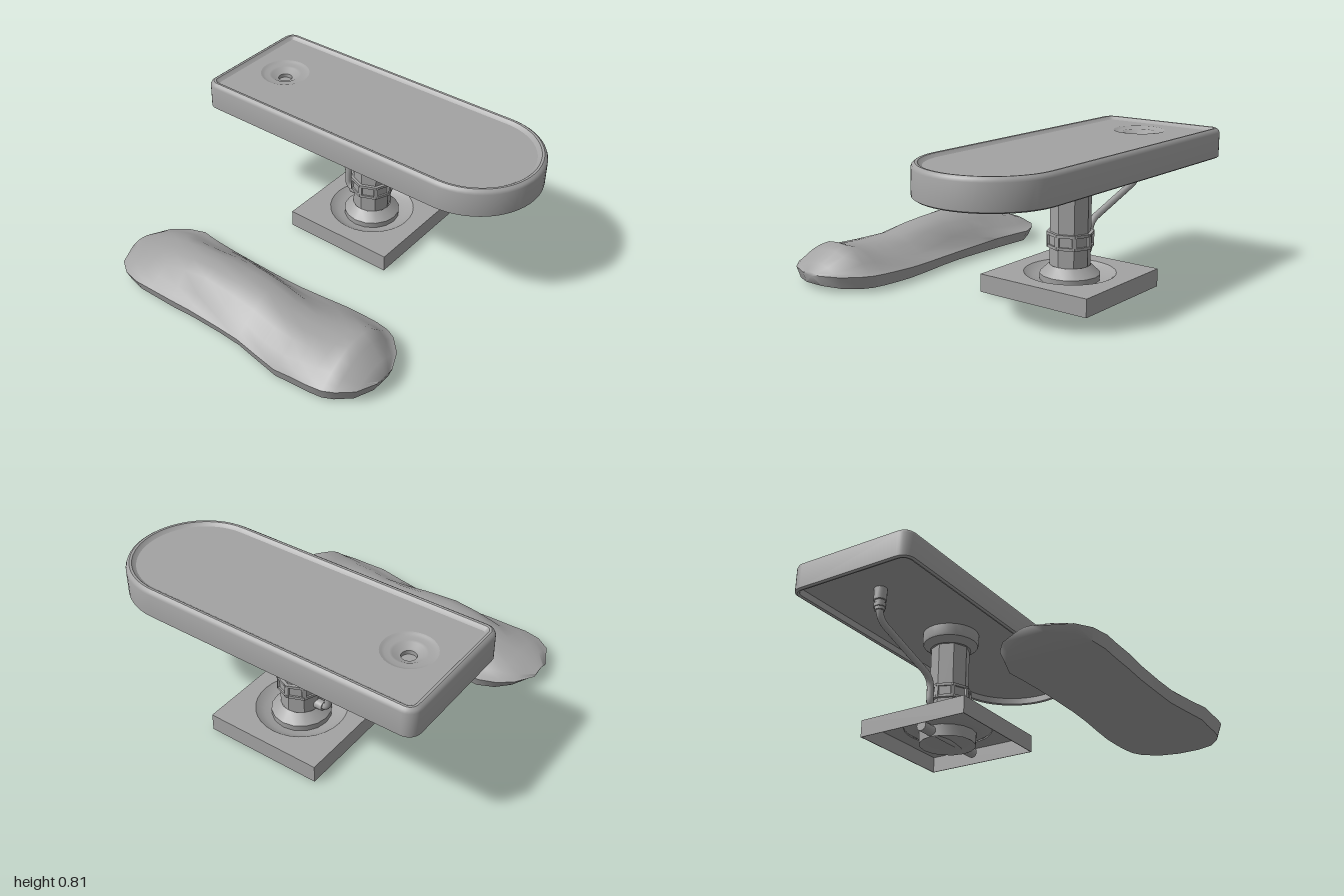
import * as THREE from 'three';
import { toCreasedNormals } from 'three/addons/utils/BufferGeometryUtils.js';

const material = new THREE.MeshStandardMaterial({ color: 0xa3a3a3 });
const openMaterial = new THREE.MeshStandardMaterial({ color: 0xa3a3a3, side: THREE.DoubleSide });

function add(parent, name, geometry, x = 0, y = 0, z = 0, mat = material) {
  const mesh = new THREE.Mesh(geometry, mat);
  mesh.name = name;
  mesh.position.set(x, y, z);
  parent.add(mesh);
  return mesh;
}

const creased = (geometry, angle = 0.6) =>
  toCreasedNormals(geometry.index ? geometry.toNonIndexed() : geometry, angle);

// Skin a stack of closed rings that all have the same number of points
function loft(rings, angle) {
  const n = rings[0].length, index = [];
  for (let i = 0; i < rings.length - 1; i++) {
    for (let j = 0; j < n; j++) {
      const a = i * n + j, b = i * n + (j + 1) % n;
      index.push(a, a + n, b, b, a + n, b + n);
    }
  }
  const g = new THREE.BufferGeometry();
  g.setAttribute('position', new THREE.Float32BufferAttribute(rings.flat(2), 3));
  g.setIndex(index);
  return creased(g, angle);
}

const lathe = (points, segments) =>
  creased(new THREE.LatheGeometry(points.map(p => new THREE.Vector2(...p)), segments));

// Table outline: half-round front, small rounded corners at the back
function outline(inset) {
  const pts = [];
  const arc = (cx, cz, r, from, to, n) => {
    for (let i = 0; i <= n; i++) {
      const a = Math.PI * (from + (to - from) * i / n);
      pts.push([cx + (r - inset) * Math.cos(a), cz + (r - inset) * Math.sin(a)]);
    }
  };
  arc(0, 0.61, 0.39, 0, 1, 28);
  arc(-0.32, -0.93, 0.07, 1, 1.5, 6);
  arc(0.32, -0.93, 0.07, 1.5, 2, 6);
  return pts;
}

function createTableTop() {
  const top = new THREE.Group();
  top.name = 'tableTop';
  const profile = [[0.025, 0.685], [0.025, 0.645], [0.012, 0.64], [0, 0.648], [0, 0.785],
    [0.006, 0.8], [0.02, 0.81], [0.033, 0.809], [0.042, 0.8], [0.055, 0.792]];
  add(top, 'rim', loft(profile.map(([d, y]) => outline(d).map(([x, z]) => [x, y, z])), 0.65));

  const floor = new THREE.Shape(outline(0.055).map(([x, z]) => new THREE.Vector2(x, -z)));
  floor.holes.push(new THREE.Path().absarc(0, 0.72, 0.145, 0, Math.PI * 2, true));
  add(top, 'trayFloor', new THREE.ShapeGeometry(floor, 16).rotateX(-Math.PI / 2), 0, 0.792, 0);
  const under = new THREE.Shape(outline(0.025).map(([x, z]) => new THREE.Vector2(x, z)));
  add(top, 'underside', new THREE.ShapeGeometry(under).rotateX(Math.PI / 2), 0, 0.685, 0);

  // Stepped dish with a small drain hole
  add(top, 'drainDish', lathe([[0, 0.735], [0.04, 0.735], [0.04, 0.757], [0.055, 0.76], [0.082, 0.777],
    [0.095, 0.781], [0.12, 0.78], [0.135, 0.788], [0.145, 0.792]], 32), 0, 0, -0.72, openMaterial);
  return top;
}

function createPedestal() {
  const stand = new THREE.Group();
  stand.name = 'pedestal';
  stand.position.z = -0.055;

  // Hollow square base with a round opening
  const square = s => [[-s, -s], [s, -s], [s, s], [-s, s]].map(p => new THREE.Vector2(...p));
  const slab = (hole, depth) => {
    const shape = new THREE.Shape(square(0.342));
    shape.holes.push(hole);
    return new THREE.ExtrudeGeometry(shape, { depth, bevelEnabled: false, curveSegments: 16 })
      .rotateX(-Math.PI / 2);
  };
  add(stand, 'basePlate', slab(new THREE.Path().absarc(0, 0, 0.25, 0, Math.PI * 2, true), 0.008), 0, 0.097, 0);
  add(stand, 'baseSkirt', slab(new THREE.Path(square(0.338).reverse()), 0.092), 0, 0.005, 0);
  add(stand, 'baseDish', lathe([[0.15, 0.064], [0.2, 0.074], [0.235, 0.094], [0.25, 0.105]], 32),
    0, 0, 0, openMaterial);

  // Eight-sided column with a flared foot and a round head
  add(stand, 'columnFoot', lathe([[0, 0.03], [0.12, 0.02], [0.16, 0], [0.165, 0.1], [0.112, 0.15]], 16),
    0, 0, 0, openMaterial);
  add(stand, 'column', creased(new THREE.CylinderGeometry(0.112, 0.112, 0.46, 8)), 0, 0.37, 0);
  add(stand, 'columnHead', lathe([[0, 0.585], [0.118, 0.585], [0.158, 0.615], [0.163, 0.63], [0.163, 0.69]], 24));

  // Collar of framed panels
  add(stand, 'collarPanels', creased(new THREE.CylinderGeometry(0.12, 0.12, 0.08, 8)), 0, 0.29, 0);
  for (const y of [0.256, 0.324]) {
    add(stand, 'collarBand', creased(new THREE.CylinderGeometry(0.13, 0.13, 0.016, 8)), 0, y, 0);
  }
  for (let i = 0; i < 8; i++) {
    const a = i * Math.PI / 4;
    add(stand, 'collarPost', new THREE.BoxGeometry(0.024, 0.08, 0.018),
      0.118 * Math.sin(a), 0.29, 0.118 * Math.cos(a)).rotation.y = a;
  }

  // Cross pipe inside the base
  add(stand, 'crossPipe', new THREE.CylinderGeometry(0.02, 0.02, 0.46, 12).rotateX(Math.PI / 2), 0, 0.035, 0);
  for (const s of [-1, 1]) {
    add(stand, 'pipeEnd', creased(new THREE.CylinderGeometry(0.03, 0.03, 0.1, 12).rotateX(Math.PI / 2)),
      0, 0.035, s * 0.2);
  }
  return stand;
}

function createDrainPipe() {
  const drain = new THREE.Group();
  drain.name = 'drainPipe';
  const v = (y, z) => new THREE.Vector3(0, y, z);
  const corners = [v(0.64, -0.715), v(0.505, -0.715), v(0.345, -0.235), v(0.175, -0.235), v(0.175, -0.14)];
  // Straight runs joined by rounded bends
  const path = new THREE.CurvePath();
  let last = corners[0];
  for (let i = 1; i < 4; i++) {
    const c = corners[i], r = i === 3 ? 0.05 : 0.07;
    const toward = p => c.clone().add(p.clone().sub(c).setLength(r));
    const start = toward(corners[i - 1]), end = toward(corners[i + 1]);
    path.add(new THREE.LineCurve3(last, start));
    path.add(new THREE.QuadraticBezierCurve3(start, c, end));
    last = end;
  }
  path.add(new THREE.LineCurve3(last, corners[4]));
  add(drain, 'pipe', new THREE.TubeGeometry(path, 90, 0.02, 12));
  for (const [r, h, y] of [[0.036, 0.075, 0.65], [0.029, 0.016, 0.602], [0.034, 0.022, 0.582], [0.028, 0.018, 0.562]]) {
    add(drain, 'pipeFitting', creased(new THREE.CylinderGeometry(r, r, h, 16)), 0, y, -0.715);
  }
  add(drain, 'wallFitting', creased(new THREE.CylinderGeometry(0.028, 0.028, 0.06, 16).rotateX(Math.PI / 2)),
    0, 0.175, -0.175);
  return drain;
}

// Draped bundle: sections along z as [z, left x, right x, bottom, skirt top, crown]
function createBundle() {
  const sections = [
    [0.83, -0.65, -0.52, 0.03, 0.09, 0.1], [0.78, -0.76, -0.41, 0.022, 0.09, 0.14],
    [0.7, -0.83, -0.33, 0.017, 0.09, 0.2], [0.64, -0.86, -0.3, 0.015, 0.088, 0.23],
    [0.56, -0.872, -0.287, 0.013, 0.085, 0.2], [0.45, -0.878, -0.283, 0.01, 0.08, 0.188],
    [0.35, -0.887, -0.283, 0.008, 0.075, 0.182], [0.2, -0.862, -0.295, 0.008, 0.07, 0.19],
    [0.05, -0.837, -0.308, 0.01, 0.068, 0.222], [-0.1, -0.832, -0.312, 0.012, 0.068, 0.235],
    [-0.3, -0.832, -0.312, 0.01, 0.07, 0.24], [-0.45, -0.84, -0.31, 0.008, 0.072, 0.225],
    [-0.6, -0.842, -0.3, 0.008, 0.07, 0.19], [-0.7, -0.845, -0.287, 0.01, 0.07, 0.155],
    [-0.8, -0.825, -0.325, 0.016, 0.07, 0.13], [-0.88, -0.77, -0.39, 0.03, 0.07, 0.105],
    [-0.945, -0.64, -0.5, 0.045, 0.065, 0.08]];
  // Half of the bell-shaped cover: [share of half width, share of rise]
  const bell = [[1, 0], [0.88, 0.14], [0.72, 0.38], [0.47, 0.77], [0.22, 0.97]];
  const cover = [...bell, [0, 1], ...bell.map(([u, t]) => [-u, t]).reverse()];
  const rings = sections.map(([z, left, right, bottom, skirt, crown]) => {
    const mid = (left + right) / 2, half = (right - left) / 2;
    const ring = [-0.93, 0.93].map(u => [mid + half * u, bottom, z * 0.975]);
    for (const [u, t] of cover) {
      const fold = 0.4 * Math.sin(9 * z + 5 * u) * t * (1 - t);
      ring.push([mid + half * u, skirt + (crown - skirt) * (t + fold), z]);
    }
    return ring;
  });
  const cap = ring => ring.map(p => [-0.58, 0.08, ring[2][2]]);
  return loft([cap(rings[0]), ...rings, cap(rings[rings.length - 1])], 1.05);
}

export function createModel() {
  const model = new THREE.Group();
  model.name = 'tableAndBundle';
  const table = new THREE.Group();
  table.name = 'table';
  table.position.x = 0.495;
  table.add(createTableTop(), createPedestal(), createDrainPipe());
  model.add(table);
  add(model, 'coveredBundle', createBundle());
  return model;
}
